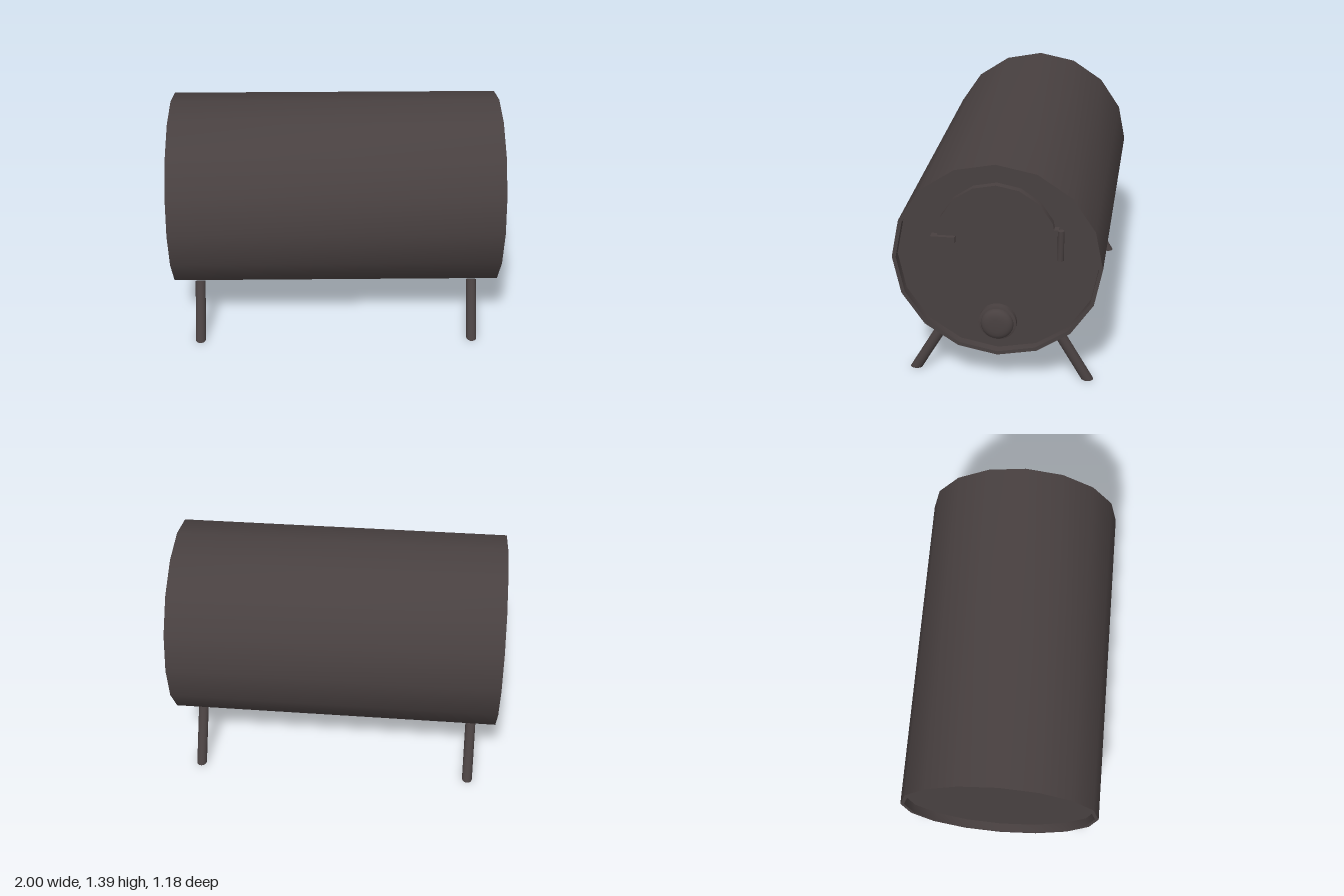
import * as THREE from 'three';
import { toCreasedNormals } from 'three/addons/utils/BufferGeometryUtils.js';

const iron = new THREE.MeshStandardMaterial({ color: 0x484040 });
iron.name = 'dark iron';

export function createModel() {
  const model = new THREE.Group();
  model.name = 'barrelStove';

  function add(name, geometry, x = 0, y = 0, z = 0) {
    const mesh = new THREE.Mesh(geometry, iron);
    mesh.name = name;
    mesh.position.set(x, y, z);
    model.add(mesh);
    return mesh;
  }

  // Turned part along the x axis; profile is [radius, x] with rising x
  function turned(profile, sides) {
    const points = profile.map(([r, x]) => new THREE.Vector2(r, x));
    const g = new THREE.LatheGeometry(points, sides).rotateZ(-Math.PI / 2);
    return toCreasedNormals(g, 0.55);
  }

  // Drum with a thin rim and a recessed plate at each end
  add('drum', turned([
    [0, -0.95], [0.568, -0.95], [0.568, -1], [0.59, -1],
    [0.59, 0.975], [0.568, 0.975], [0.568, 0.925], [0, 0.925],
  ], 16), 0, 0.8, 0);

  // Round fire door
  add('door', turned([[0.335, 0.92], [0.335, 0.967], [0, 0.967]], 16), 0, 0.93, 0);

  // Hinge leaf, hinge pin and latch
  add('hingeLeaf', new THREE.BoxGeometry(0.042, 0.18, 0.04), 0.946, 0.93, -0.325);
  add('hingePin', toCreasedNormals(new THREE.CylinderGeometry(0.018, 0.018, 0.18, 8), 0.9),
    0.968, 0.93, -0.356);
  add('latch', new THREE.BoxGeometry(0.045, 0.035, 0.137), 0.968, 0.932, 0.296);

  // Air vent: flange and domed knob
  add('ventFlange', turned([[0.108, 0.92], [0.108, 0.955], [0.093, 0.96], [0, 0.96]], 32), 0, 0.41, 0);
  add('ventKnob', turned([
    [0.093, 0.95], [0.093, 0.972], [0.088, 0.982], [0.077, 0.991],
    [0.062, 0.997], [0.04, 1.0], [0, 1.0],
  ], 32), 0, 0.41, 0);

  // Splayed legs, cut level at the floor
  const tilt = Math.PI / 6;
  const length = 0.365;
  for (const x of [-0.853, 0.828]) {
    for (const side of [1, -1]) {
      const g = new THREE.CylinderGeometry(0.031, 0.031, length, 16);
      g.translate(0, length / 2, 0).rotateX(-tilt * side).translate(0, 0, 0.509 * side);
      const p = g.attributes.position;
      for (let i = 0; i < p.count; i++) {
        if (p.getY(i) < 0.1) {
          p.setZ(i, p.getZ(i) + p.getY(i) * Math.tan(tilt) * side);
          p.setY(i, 0);
        }
      }
      add(side > 0 ? 'frontLeg' : 'backLeg', toCreasedNormals(g, 0.8), x, 0, 0);
    }
  }

  return model;
}
